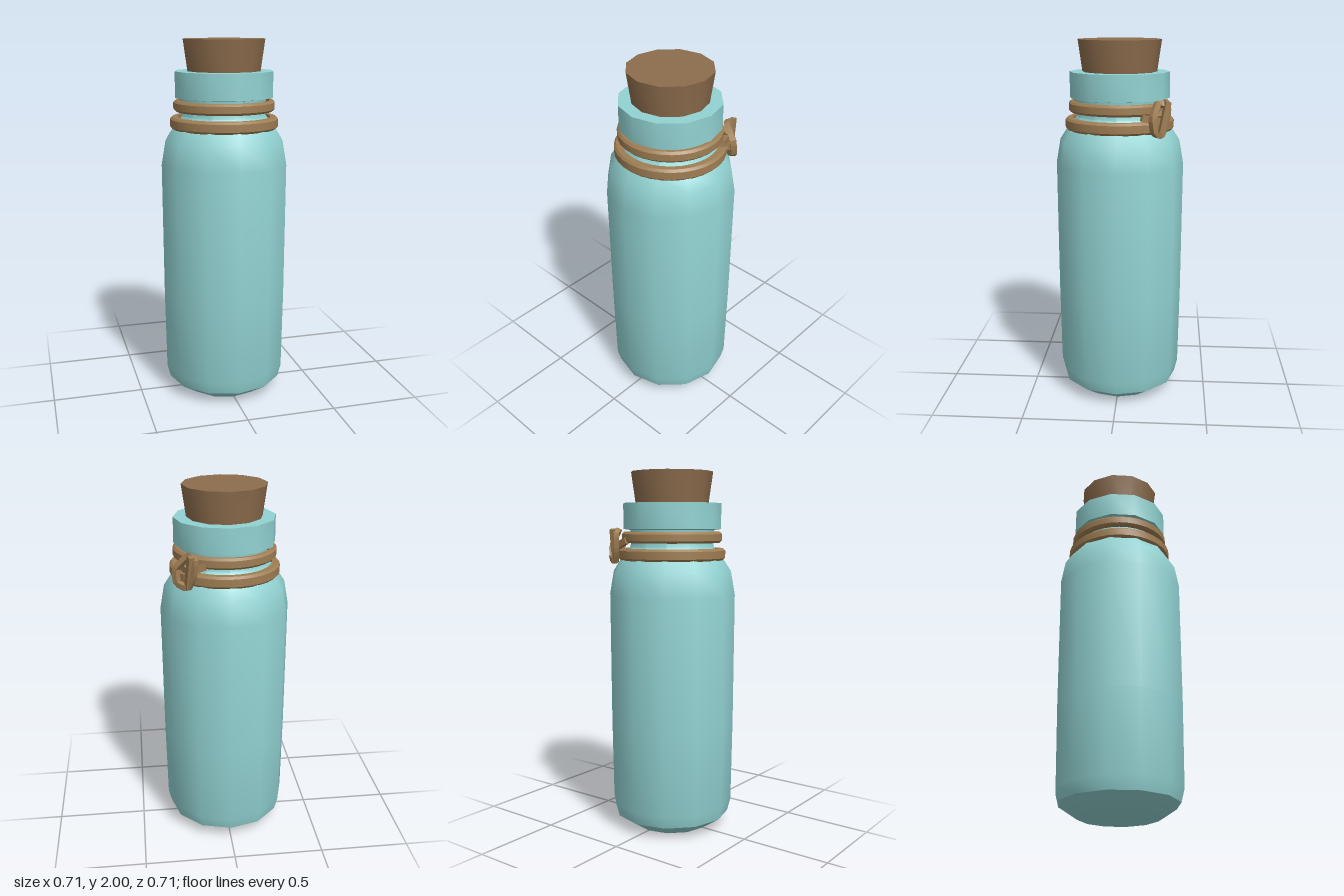
import * as THREE from 'three';
import { toCreasedNormals } from 'three/addons/utils/BufferGeometryUtils.js';

const glass = new THREE.MeshStandardMaterial({ color: 0x92d2d2 });
const corkMat = new THREE.MeshStandardMaterial({ color: 0x8c6c4c });
const cordMat = new THREE.MeshStandardMaterial({ color: 0x9f7e54 });

// Revolve [radius, height] pairs, keeping sharp edges above the crease angle
function turned(name, profile, sides, material) {
  const pts = profile.map(([r, y]) => new THREE.Vector2(r, y));
  const geo = toCreasedNormals(new THREE.LatheGeometry(pts, sides), 0.64);
  const mesh = new THREE.Mesh(geo, material);
  mesh.name = name;
  return mesh;
}

// Chamfered cord wrapped round the neck
function band(name, y0, y1, outer, inner) {
  const c = 0.012;
  return turned(name, [
    [inner, y0], [outer - c, y0], [outer, y0 + c], [outer, y1 - c],
    [outer - c, y1], [inner, y1], [inner, y0],
  ], 32, cordMat);
}

// Flat strap between two points
function strap(name, a, b, width, thickness) {
  const from = new THREE.Vector3(...a), to = new THREE.Vector3(...b);
  const mesh = new THREE.Mesh(new THREE.BoxGeometry(thickness, width, from.distanceTo(to)), cordMat);
  mesh.position.copy(from).add(to).multiplyScalar(0.5);
  mesh.lookAt(to);
  mesh.name = name;
  return mesh;
}

export function createModel() {
  const model = new THREE.Group();

  // Twelve-sided bottle: chamfered foot, body, shoulder, neck and lip
  model.add(turned('bottle', [
    [0, 0], [0.22, 0], [0.325, 0.07], [0.343, 0.14], [0.35, 0.6], [0.353, 1.33],
    [0.33, 1.46], [0.285, 1.53], [0.235, 1.59], [0.228, 1.63], [0.235, 1.685],
    [0.273, 1.69], [0.273, 1.83], [0.18, 1.83],
  ], 12, glass));

  // Tapered stopper
  model.add(turned('cork', [[0, 1.7], [0.185, 1.7], [0.227, 2], [0, 2]], 12, corkMat));

  // Two turns of cord
  model.add(band('upperCord', 1.615, 1.675, 0.278, 0.25));
  model.add(band('lowerCord', 1.52, 1.585, 0.297, 0.255));

  // Knot at the back left: u runs along the cord, n points outward
  const knot = new THREE.Group();
  knot.name = 'knot';
  const at = (u, n, y) => new THREE.Vector3((n - u) * Math.SQRT1_2, y, -(u + n) * Math.SQRT1_2);
  const path = new THREE.CatmullRomCurve3([
    at(0.055, 0.315, 1.665), at(0.005, 0.295, 1.68), at(-0.06, 0.325, 1.61),
    at(-0.05, 0.33, 1.535), at(0.01, 0.315, 1.515), at(0.045, 0.315, 1.58),
  ], true, 'catmullrom', 0.2);
  const loopGeo = new THREE.TubeGeometry(path, 24, 0.021, 4, true);
  const loopMat = cordMat.clone();
  loopMat.flatShading = true;
  const loop = new THREE.Mesh(loopGeo, loopMat);
  loop.name = 'knotLoop';
  knot.add(loop);
  knot.add(strap('knotCross', at(0.045, 0.33, 1.69).toArray(), at(0.01, 0.315, 1.51).toArray(), 0.03, 0.03));
  knot.add(strap('knotTailBack', [0.125, 1.63, -0.24], [0.2, 1.6, -0.225], 0.035, 0.025));
  knot.add(strap('knotTailSide', [0.243, 1.61, -0.13], [0.2, 1.59, -0.22], 0.035, 0.025));
  model.add(knot);

  return model;
}
